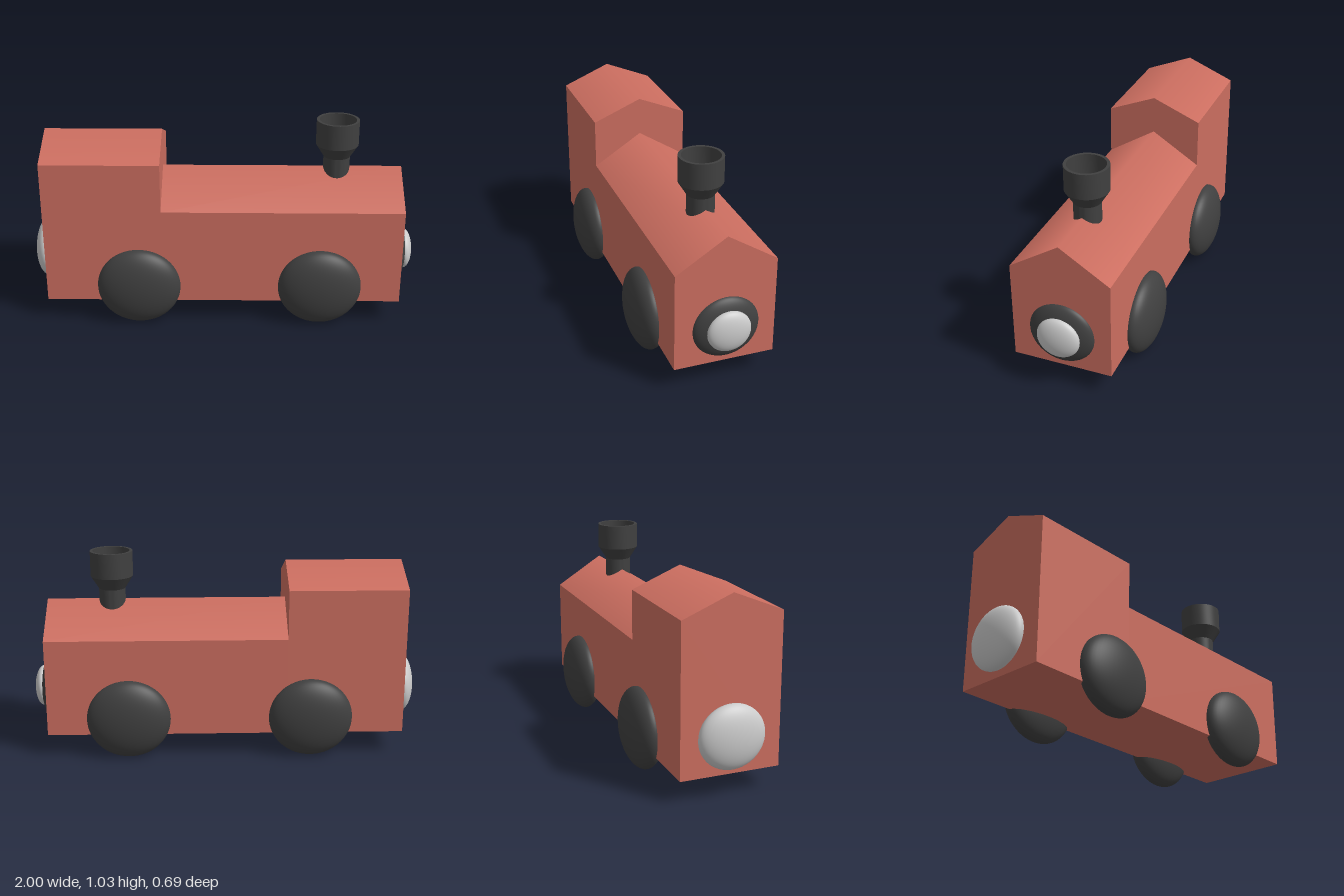
import * as THREE from 'three';
import { toCreasedNormals } from 'three/addons/utils/BufferGeometryUtils.js';

const paint = (color) => new THREE.MeshStandardMaterial({ color });
const red = paint(0xcc6e60);
const dark = paint(0x404040);
const grey = paint(0xcccccc);

function addMesh(parent, name, geometry, material) {
  const mesh = new THREE.Mesh(geometry, material);
  mesh.name = name;
  parent.add(mesh);
  return mesh;
}

// Long block with a pitched roof, running along x; the ridge is shaded softly
function gabledBlock(x0, x1, bottom, eave, ridge, halfWidth) {
  const shape = new THREE.Shape();
  shape.moveTo(-halfWidth, bottom);
  shape.lineTo(halfWidth, bottom);
  shape.lineTo(halfWidth, eave);
  shape.lineTo(0, ridge);
  shape.lineTo(-halfWidth, eave);
  shape.closePath();
  const geometry = new THREE.ExtrudeGeometry(shape, { depth: x1 - x0, bevelEnabled: false });
  geometry.rotateY(Math.PI / 2).translate(x0, 0, 0);
  const { position, normal } = geometry.attributes;
  for (let i = 0; i < position.count; i++) {
    if (position.getY(i) > ridge - 0.001 && normal.getY(i) > 0.1) normal.setXYZ(i, 0, 1, 0);
  }
  return geometry;
}

// Flattened ball used for wheels and lamps
function addEllipsoid(parent, name, material, center, radii) {
  const mesh = addMesh(parent, name, new THREE.SphereGeometry(1, 48, 32), material);
  mesh.position.set(...center);
  mesh.scale.set(...radii);
}

export function createModel() {
  const model = new THREE.Group();
  model.name = 'locomotive';

  // Body
  addMesh(model, 'boiler', gabledBlock(-0.315, 0.915, 0.118, 0.62, 0.778, 0.25), red);
  addMesh(model, 'cab', gabledBlock(-0.915, -0.315, 0.118, 0.872, 0.975, 0.25), red);

  // Chimney with a flared, hollow top
  const profile = [
    [0, 0.64], [0.068, 0.64], [0.068, 0.835], [0.109, 0.9], [0.109, 1.03],
    [0.094, 1.03], [0.094, 0.91], [0, 0.91],
  ].map(([r, y]) => new THREE.Vector2(r, y));
  const chimney = addMesh(model, 'chimney',
    toCreasedNormals(new THREE.LatheGeometry(profile, 48), 0.5), dark);
  chimney.position.x = 0.58;

  // Wheels
  for (const side of [1, -1]) {
    for (const [end, x] of [['rear', -0.435], ['front', 0.497]]) {
      const name = `${end}${side > 0 ? 'Near' : 'Far'}Wheel`;
      addEllipsoid(model, name, dark, [x, 0.206, side * 0.257], [0.214, 0.204, 0.088]);
    }
  }

  // Lamps at both ends
  addEllipsoid(model, 'frontLampRim', dark, [0.91, 0.305, -0.003], [0.057, 0.159, 0.165]);
  addEllipsoid(model, 'frontLampLens', grey, [0.957, 0.305, -0.003], [0.043, 0.105, 0.108]);
  addEllipsoid(model, 'rearLamp', grey, [-0.932, 0.307, -0.003], [0.068, 0.159, 0.165]);

  return model;
}
